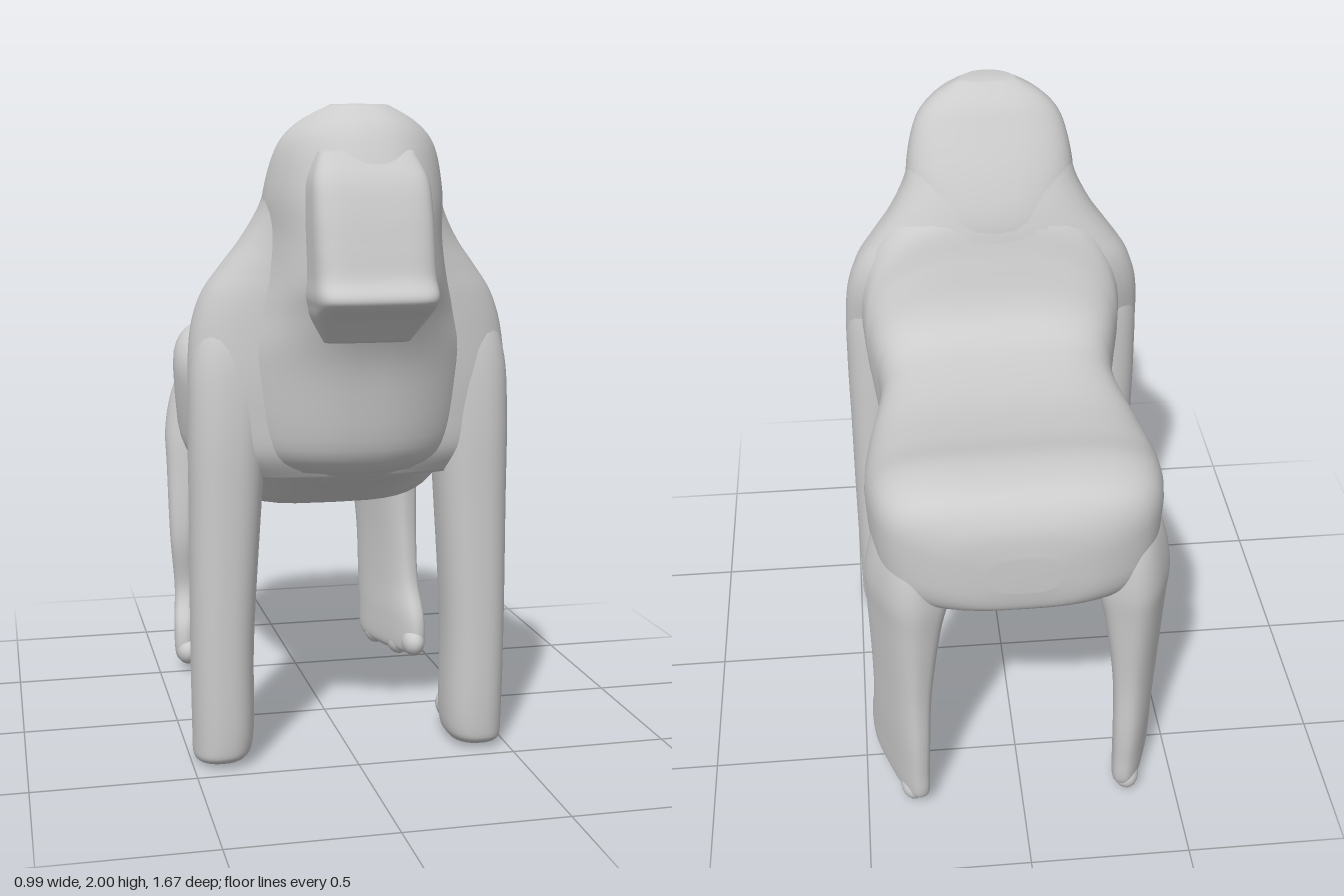
import * as THREE from 'three';

const SIDES = 48, STEPS = 6;
const material = new THREE.MeshStandardMaterial({ color: 0xcccccc });

// Smooth interpolation through four values
function spline(a, b, c, d, t) {
  const m0 = (c - a) / 2, m1 = (d - b) / 2;
  return (2 * b - 2 * c + m0 + m1) * t ** 3 + (3 * c - 3 * b - 2 * m0 - m1) * t * t + m0 * t + b;
}

// Lofts closed superellipse rings stacked along y.
// Ring: [y, centreX, centreZ, halfX, halfZ, exponent, taper toward +z, yaw]
function loft(rings) {
  const fine = [];
  for (let i = 0; i < rings.length - 1; i++) {
    const p = [rings[Math.max(i - 1, 0)], rings[i], rings[i + 1], rings[Math.min(i + 2, rings.length - 1)]];
    for (let k = 0; k < STEPS; k++) {
      fine.push(p[0].map((_, j) => spline(p[0][j], p[1][j], p[2][j], p[3][j], k / STEPS)));
    }
  }
  fine.push(rings[rings.length - 1]);

  const pos = [], index = [];
  for (const [y, cx, cz, hx, hz, n, taper, yaw] of fine) {
    for (let i = 0; i < SIDES; i++) {
      const a = (i / SIDES) * Math.PI * 2, c = Math.cos(a), s = Math.sin(a);
      const w = Math.sign(s) * Math.abs(s) ** (2 / n);
      const u = Math.sign(c) * Math.abs(c) ** (2 / n) * hx * (1 + taper * w);
      const v = w * hz;
      pos.push(cx + u * Math.cos(yaw) + v * Math.sin(yaw), y, cz - u * Math.sin(yaw) + v * Math.cos(yaw));
    }
  }
  for (let r = 0; r < fine.length - 1; r++) {
    for (let i = 0; i < SIDES; i++) {
      const a = r * SIDES + i, b = r * SIDES + (i + 1) % SIDES;
      index.push(a, a + SIDES, b, b, a + SIDES, b + SIDES);
    }
  }
  // End caps
  const first = fine[0], last = fine[fine.length - 1], top = (fine.length - 1) * SIDES;
  const c0 = pos.length / 3;
  pos.push(first[1], first[0], first[2], last[1], last[0], last[2]);
  for (let i = 0; i < SIDES; i++) {
    const j = (i + 1) % SIDES;
    index.push(c0, i, j, c0 + 1, top + j, top + i);
  }
  const g = new THREE.BufferGeometry();
  g.setAttribute('position', new THREE.Float32BufferAttribute(pos, 3));
  g.setIndex(index);
  g.computeVertexNormals();
  return g;
}

// Ring from back and front z limits
const slab = (n, taper, cx = 0) => ([y, back, front, hw]) =>
  [y, cx, (back + front) / 2, hw, (front - back) / 2, n, taper, 0];

export function createModel() {
  const model = new THREE.Group();
  model.name = 'animal';
  const add = (name, geometry, parent = model) => {
    const mesh = new THREE.Mesh(geometry, material);
    mesh.name = name;
    parent.add(mesh);
    return mesh;
  };

  // Trunk, lofted from rump to chest: [z, top, bottom, half width, exponent]
  const trunk = loft([
    [-0.84, 1.1, 0.98, 0.1, 3], [-0.825, 1.19, 0.91, 0.23, 3.2], [-0.78, 1.26, 0.87, 0.34, 3.6],
    [-0.71, 1.29, 0.83, 0.4, 3.8], [-0.6, 1.295, 0.78, 0.43, 4], [-0.45, 1.265, 0.745, 0.44, 4],
    [-0.25, 1.25, 0.725, 0.42, 4], [-0.05, 1.275, 0.725, 0.38, 4], [0.05, 1.315, 0.735, 0.378, 3.8],
    [0.11, 1.385, 0.75, 0.39, 3.3], [0.16, 1.51, 0.77, 0.405, 2.7], [0.21, 1.64, 0.79, 0.42, 2.4],
    [0.3, 1.68, 0.83, 0.42, 2.3], [0.42, 1.5, 0.88, 0.34, 2.3], [0.52, 1.35, 0.94, 0.22, 2.3],
  ].map(([z, top, bottom, hw, n]) => [z, 0.01, -(top + bottom) / 2, hw, (top - bottom) / 2, n, -0.04, 0]));
  trunk.rotateX(Math.PI / 2);
  add('trunk', trunk);

  // Shoulders sloping up to the neck: [y, back, front, half width]
  add('shoulders', loft([
    [0.9, 0.25, 0.45, 0.36], [0.98, 0.23, 0.49, 0.45], [1.1, 0.215, 0.5, 0.485], [1.22, 0.2, 0.505, 0.49],
    [1.35, 0.17, 0.505, 0.478], [1.45, 0.16, 0.505, 0.445], [1.53, 0.17, 0.505, 0.39],
    [1.61, 0.19, 0.51, 0.33], [1.7, 0.225, 0.525, 0.28], [1.8, 0.28, 0.55, 0.245], [1.9, 0.36, 0.56, 0.16],
  ].map(slab(2.5, -0.04))));

  // Chest, neck and domed head in one column
  add('chestAndHead', loft([
    [0.92, 0.3, 0.5, 0.22], [1.0, 0.28, 0.57, 0.3], [1.25, 0.25, 0.62, 0.33],
    [1.4, 0.2, 0.69, 0.3], [1.5, 0.18, 0.755, 0.27], [1.62, 0.19, 0.76, 0.252],
    [1.75, 0.245, 0.715, 0.25], [1.88, 0.325, 0.655, 0.22], [1.95, 0.375, 0.605, 0.165], [2.0, 0.44, 0.53, 0.08],
  ].map(slab(2.5, -0.3))));

  // Blocky face with a jutting lip
  add('muzzle', loft([
    [1.33, 0.52, 0.66, 0.13], [1.4, 0.52, 0.745, 0.165], [1.44, 0.52, 0.815, 0.175],
    [1.47, 0.52, 0.83, 0.18], [1.52, 0.52, 0.797, 0.178], [1.6, 0.52, 0.775, 0.178],
    [1.7, 0.52, 0.747, 0.177], [1.79, 0.52, 0.71, 0.17], [1.87, 0.52, 0.645, 0.14],
  ].map(slab(5, -0.04, -0.012))));

  for (const s of [1, -1]) {
    const side = s > 0 ? 'left' : 'right';

    // Front leg: [y, x, z, half x, half z]
    const front = new THREE.Group();
    front.name = side + 'FrontLeg';
    model.add(front);
    add('leg', loft([
      [0.005, 0.42, 0.3, 0.055, 0.06], [0.025, 0.41, 0.34, 0.08, 0.11], [0.1, 0.4, 0.35, 0.093, 0.122],
      [0.4, 0.4, 0.355, 0.096, 0.122], [0.8, 0.387, 0.355, 0.108, 0.125], [1.05, 0.377, 0.355, 0.118, 0.125],
      [1.25, 0.358, 0.35, 0.128, 0.115], [1.38, 0.32, 0.345, 0.12, 0.09], [1.46, 0.28, 0.345, 0.06, 0.05],
    ].map(([y, x, z, hx, hz]) => [y, s * x, z, hx, hz, 2.4, 0, 0])), front);
    const paw = add('paw', new THREE.SphereGeometry(1, 24, 16), front);
    paw.scale.set(0.075, 0.065, 0.075);
    paw.position.set(s * 0.395, 0.085, 0.247);

    // Hind leg, flat and turned outward: [y, x, z, half thickness, half length, yaw]
    // The right foot reaches less far forward than the left
    const reach = s > 0 ? 0 : 0.045;
    const hind = new THREE.Group();
    hind.name = side + 'HindLeg';
    model.add(hind);
    add('leg', loft([
      [0.03, 0.385, -0.575, 0.025, 0.12, 0.35], [0.06, 0.385, -0.575, 0.045, 0.185, 0.35],
      [0.17, 0.385, -0.58, 0.05, 0.19, 0.35], [0.3, 0.378, -0.61, 0.052, 0.165, 0.38],
      [0.5, 0.372, -0.62, 0.06, 0.155, 0.4], [0.75, 0.358, -0.63, 0.082, 0.16, 0.42],
      [0.9, 0.34, -0.635, 0.105, 0.16, 0.42], [1.05, 0.315, -0.63, 0.1, 0.14, 0.4], [1.15, 0.3, -0.63, 0.05, 0.08, 0.4],
    ].map(([y, x, z, hx, hz, yaw], i) => {
      const cut = i < 4 ? reach : reach * 0.4;
      return [y, s * (x - cut * 0.38), z - cut, hx, hz - cut, 2.7, 0, s * yaw];
    })), hind);
    for (const [x, y, z] of [[0.43, 0.08, -0.43], [0.4, 0.06, -0.53], [0.35, 0.06, -0.68]]) {
      const cut = reach * (z + 0.75) * 6;
      const toe = add('toe', new THREE.SphereGeometry(1, 20, 14), hind);
      toe.scale.set(0.042, 0.05, 0.06);
      toe.position.set(s * (x - cut * 0.38), y, z - cut);
    }
  }
  return model;
}
